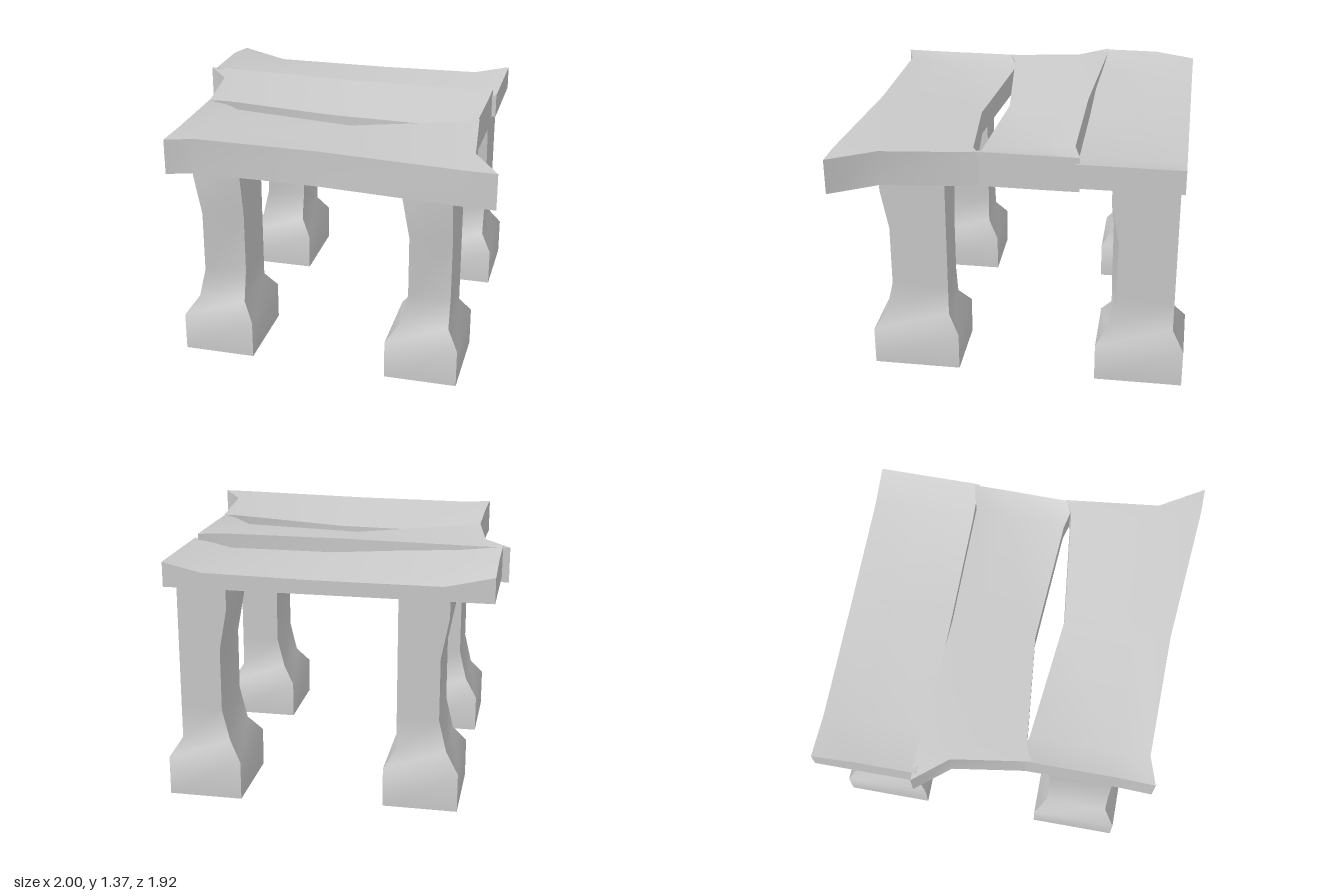
import * as THREE from 'three';
import { toCreasedNormals } from 'three/addons/utils/BufferGeometryUtils.js';

const CREASE = 0.75;

function addMesh(group, name, geometry) {
  const material = new THREE.MeshStandardMaterial({ color: 0xcccccc });
  const mesh = new THREE.Mesh(toCreasedNormals(geometry, CREASE), material);
  mesh.name = name;
  group.add(mesh);
  return mesh;
}

// Moves every vertex of a segmented unit box; rule gets grid indices.
function shapedBox(nx, ny, nz, rule) {
  const geo = new THREE.BoxGeometry(1, 1, 1, nx, ny, nz);
  const pos = geo.attributes.position;
  for (let i = 0; i < pos.count; i++) {
    const ix = Math.round((pos.getX(i) + 0.5) * nx);
    const iy = Math.round((pos.getY(i) + 0.5) * ny);
    const iz = Math.round((pos.getZ(i) + 0.5) * nz);
    pos.setXYZ(i, ...rule(ix, iy, iz));
  }
  return geo;
}

// Leg with a wide foot and a worn hollow on its left and front edges
function legGeometry(top) {
  const levels = [0, 0.22, 0.32, 0.5, 0.85, 1.08, top];
  return shapedBox(1, 6, 1, (ix, iy, iz) => {
    const foot = iy < 2;
    const hollow = iy === 3 || iy === 4 ? 0.043 : 0;
    let x = foot ? (ix ? 0.205 : -0.205) : (ix ? 0.142 : -0.132);
    let z = (iz ? 1 : -1) * (foot ? 0.247 : 0.182);
    if (!ix) x += hollow;
    if (ix && iz) z -= hollow;
    return [x, levels[iy], z];
  });
}

// Plank with a flat underside; rows run back to front, each with
// x and z positions and the depth of the dished top below its rim
function plankGeometry(bottom, rim, rows) {
  return shapedBox(4, 1, 2, (ix, iy, iz) => {
    const { x, z, dip } = rows[iz];
    return [x[ix], iy ? rim - dip[ix] : bottom, z[ix]];
  });
}

export function createModel() {
  const model = new THREE.Group();

  // Front plank, dished along its back edge
  addMesh(model, 'frontPlank', plankGeometry(1.163, 1.361, [
    { x: [-0.79, -0.63, 0.07, 0.71, 0.79], z: [0.18, 0.215, 0.29, 0.22, 0.18], dip: [0, 0.055, 0.065, 0.01, 0] },
    { x: [-0.79, -0.635, 0.06, 0.78, 0.85], z: [0.71, 0.69, 0.7, 0.71, 0.71], dip: [0, 0.02, 0.025, 0.005, 0] },
    { x: [-0.797, -0.64, 0.05, 0.84, 1], z: [0.92, 0.87, 0.885, 0.955, 0.96], dip: [0, 0, 0, 0, 0] },
  ]));

  // Middle plank, turned round so its dished edge faces forward
  addMesh(model, 'middlePlank', plankGeometry(1.163, 1.361, [
    { x: [-1, -0.85, -0.06, 0.64, 0.79], z: [-0.365, -0.365, -0.323, -0.322, -0.362], dip: [0, 0, 0, 0, 0] },
    { x: [-0.85, -0.78, -0.06, 0.635, 0.79], z: [-0.18, -0.18, -0.18, -0.17, -0.18], dip: [0, 0.005, 0.025, 0.02, 0] },
    { x: [-0.785, -0.7, -0.06, 0.64, 0.785], z: [0.25, 0.21, 0.145, 0.19, 0.23], dip: [0, 0.01, 0.065, 0.055, 0] },
  ]));

  // Back plank: straight sides, dished top
  const x = [-0.96, -0.7, 0, 0.6, 0.815];
  addMesh(model, 'backPlank', plankGeometry(1.195, 1.368, [
    { x, z: Array(5).fill(-0.92), dip: [0.035, 0.095, 0.095, 0.085, 0.035] },
    { x, z: Array(5).fill(-0.68), dip: [0, 0.075, 0.095, 0.085, 0.035] },
    { x, z: Array(5).fill(-0.34), dip: [0, 0.035, 0.085, 0.085, 0.035] },
  ]));

  // Legs: name, x, z, height
  const legs = [
    ['frontLeftLeg', 0.605, 0.56, 1.165],
    ['frontRightLeg', -0.592, 0.535, 1.165],
    ['backLeftLeg', 0.605, -0.715, 1.19],
    ['backRightLeg', -0.592, -0.65, 1.19],
  ];
  for (const [name, px, pz, top] of legs) {
    addMesh(model, name, legGeometry(top)).position.set(px, 0, pz);
  }
  return model;
}
